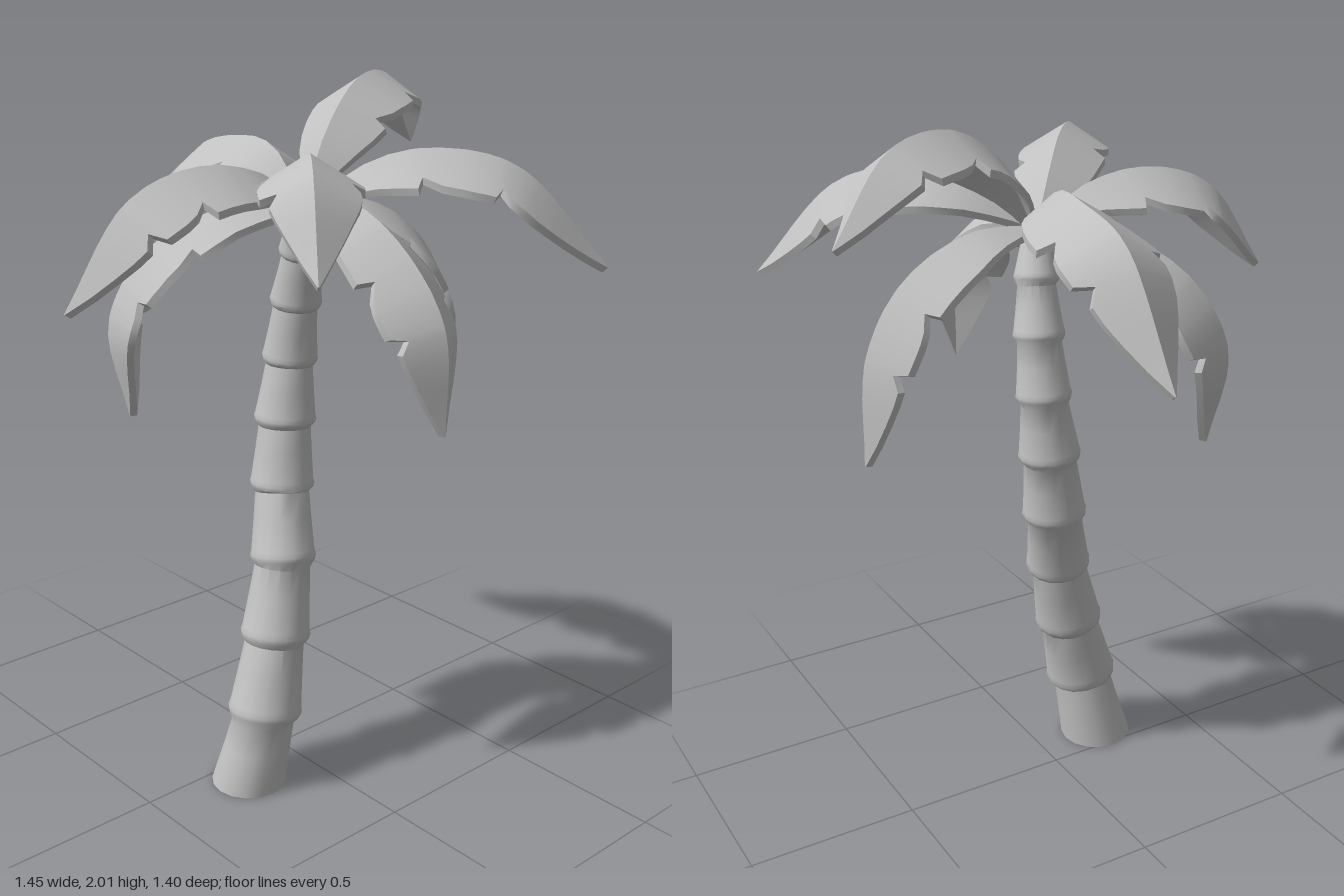
import * as THREE from 'three';
import { toCreasedNormals } from 'three/addons/utils/BufferGeometryUtils.js';

const V = (x, y, z) => new THREE.Vector3(x, y, z);

// Closed skin over equal-sized rings of points, with both ends capped
function loft(rings, crease) {
  const n = rings[0].length, index = [];
  for (let i = 0; i < rings.length - 1; i++) {
    for (let j = 0; j < n; j++) {
      const a = i * n + j, b = i * n + (j + 1) % n;
      index.push(a, b, b + n, a, b + n, a + n);
    }
  }
  const last = (rings.length - 1) * n;
  for (let j = 1; j < n - 1; j++) {
    index.push(0, j + 1, j, last, last + j, last + j + 1);
  }
  const geo = new THREE.BufferGeometry().setFromPoints(rings.flat());
  geo.setIndex(index);
  return toCreasedNormals(geo, crease);
}

// Trunk: ring joints as [x, y, z, radius], each flaring out then tapering upward
const JOINTS = [
  [-0.20, 0, 0.09, 0.11], [-0.16, 0.22, 0.115, 0.108], [-0.10, 0.44, 0.093, 0.102],
  [-0.045, 0.66, 0.065, 0.096], [0.003, 0.86, 0.005, 0.094], [0.027, 1.05, -0.01, 0.09],
  [0.045, 1.23, -0.01, 0.08], [0.045, 1.4, 0.015, 0.074], [0.03, 1.55, 0.055, 0.064],
  [0.0, 1.68, 0.1, 0.05],
];

function trunkGeometry() {
  const sides = 16, rings = [];
  const addRing = (i, f, r) => {
    const [a, b] = [JOINTS[i], JOINTS[i + 1]];
    const c = a.map((v, k) => v + (b[k] - v) * f);
    const tiltX = i ? 0.7 * (b[0] - a[0]) / (b[1] - a[1]) : 0;
    const tiltZ = i ? 0.7 * (b[2] - a[2]) / (b[1] - a[1]) : 0;
    rings.push(Array.from({ length: sides }, (_, k) => {
      const t = k / sides * Math.PI * 2, x = r * Math.cos(t), z = -r * Math.sin(t);
      return V(c[0] + x, c[1] - tiltX * x - tiltZ * z, c[2] + z);
    }));
  };
  for (let i = 0; i < JOINTS.length - 1; i++) {
    const r = JOINTS[i][3], top = JOINTS[i + 1][3] * 0.84;
    addRing(i, 0, i ? r * 0.97 : r);
    if (i) {
      addRing(i, 0.06, r);
      addRing(i, 0.13, r * 0.96);
    }
    addRing(i, 0.55, (r + top) / 2 - 0.003);
    addRing(i, 0.92, top);
  }
  return loft(rings, 0.7);
}

// Leaf outline: [position along midrib, left width, right width], with torn notches
const OUTLINE = [
  [0, 0.1, 0.1], [0.06, 0.25, 0.25], [0.12, 0.45, 0.45], [0.19, 0.66, 0.66], [0.26, 0.82, 0.84],
  [0.32, 0.9, 0.94], [0.34, 0.92, 0.7], [0.4, 0.97, 0.92], [0.46, 1, 0.98], [0.48, 0.72, 1],
  [0.53, 0.9, 1], [0.57, 0.95, 0.98], [0.59, 0.96, 0.72], [0.64, 0.95, 0.87], [0.68, 0.92, 0.88],
  [0.7, 0.62, 0.87], [0.75, 0.76, 0.82], [0.8, 0.67, 0.7], [0.86, 0.5, 0.52], [0.93, 0.27, 0.27],
  [1, 0.015, 0.015],
];

function leafGeometry(points, width, flip) {
  const thickness = 0.02, drop = 0.62;
  const curve = new THREE.CatmullRomCurve3(points.map(p => V(...p)));
  const heading = V(...points.at(-1)).sub(V(...points[0])).setY(0).normalize();
  const side = heading.cross(V(0, 1, 0));
  const rings = OUTLINE.map(([t, l, r]) => {
    const p = curve.getPointAt(t);
    const n = side.clone().cross(curve.getTangentAt(t)).normalize();
    const at = (w, down) => p.clone().addScaledVector(side, w * width)
      .addScaledVector(n, -Math.abs(w) * width * drop - down);
    const [wl, wr] = flip ? [r, l] : [l, r];
    return [at(-wl, 0), at(0, 0), at(wr, 0), at(wr, thickness), at(0, thickness), at(-wl, thickness)];
  });
  return loft(rings, 0.5);
}

// Midribs from the crown to each tip
const HUB = [0, 1.69, 0.1];
const LEAVES = [
  { name: 'backLeaf', width: 0.145, flip: true,
    path: [HUB, [0.04, 1.82, -0.07], [0.08, 1.83, -0.27], [0.09, 1.77, -0.48], [0.09, 1.46, -0.70]] },
  { name: 'upperLeftLeaf', width: 0.13, flip: false,
    path: [HUB, [0.1, 1.85, 0.06], [0.3, 1.99, -0.02], [0.53, 1.98, -0.12], [0.72, 1.78, -0.20]] },
  { name: 'rightLeaf', width: 0.14, flip: false,
    path: [HUB, [-0.15, 1.79, 0.09], [-0.35, 1.82, 0.07], [-0.55, 1.75, 0.055], [-0.73, 1.5, 0.04]] },
  { name: 'hangingBackRightLeaf', width: 0.135, flip: true,
    path: [HUB, [-0.17, 1.68, -0.05], [-0.32, 1.56, -0.19], [-0.4, 1.36, -0.26], [-0.36, 1.09, -0.23]] },
  { name: 'hangingLeftLeaf', width: 0.135, flip: false,
    path: [HUB, [0.19, 1.69, 0.12], [0.38, 1.58, 0.15], [0.5, 1.38, 0.16], [0.53, 1.07, 0.14]] },
  { name: 'hangingFrontLeaf', width: 0.13, flip: true,
    path: [HUB, [0, 1.72, 0.28], [0, 1.63, 0.47], [0, 1.45, 0.62], [0.005, 1.17, 0.63]] },
  { name: 'frontRightLeaf', width: 0.13, flip: true,
    path: [HUB, [-0.1, 1.8, 0.21], [-0.24, 1.88, 0.38], [-0.39, 1.86, 0.56], [-0.5, 1.65, 0.70]] },
  { name: 'frontLeftLeaf', width: 0.14, flip: false,
    path: [HUB, [0.14, 1.81, 0.22], [0.27, 1.84, 0.33], [0.43, 1.79, 0.47], [0.62, 1.52, 0.64]] },
];

export function createModel() {
  const palm = new THREE.Group();
  palm.name = 'palmTree';
  const grey = new THREE.MeshStandardMaterial({ color: 0xc0c0c0 });
  grey.name = 'lightGrey';

  const add = (name, geometry) => {
    const mesh = new THREE.Mesh(geometry, grey);
    mesh.name = name;
    palm.add(mesh);
  };
  add('trunk', trunkGeometry());
  for (const { name, path, width, flip } of LEAVES) add(name, leafGeometry(path, width, flip));
  return palm;
}
